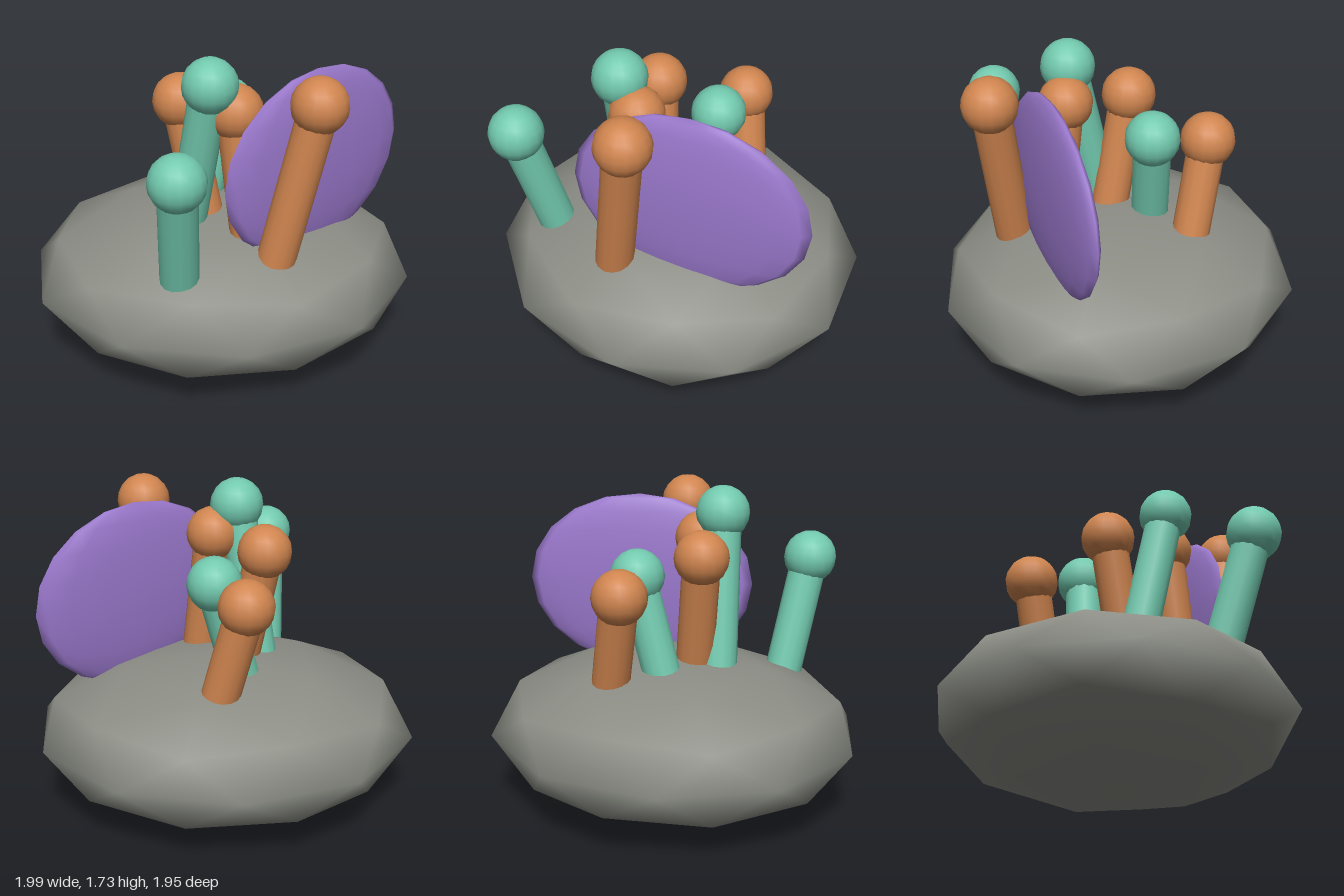
import * as THREE from 'three';

const paint = (name, color) => {
  const m = new THREE.MeshStandardMaterial({ color });
  m.name = name;
  return m;
};

export function createModel() {
  const group = new THREE.Group();
  const stone = paint('stone grey', 0x8c8e86);
  const teal = paint('teal', 0x72c9ae);
  const orange = paint('orange', 0xd0854f);
  const purple = paint('purple', 0x9a78cc);

  const add = (name, geometry, material, parent = group) => {
    const mesh = new THREE.Mesh(geometry, material);
    mesh.name = name;
    parent.add(mesh);
    return mesh;
  };

  // Flattened boulder: coarse sphere with one corner pointing straight up
  const rock = new THREE.IcosahedronGeometry(1, 1);
  rock.rotateZ(-Math.atan(2 / (1 + Math.sqrt(5))));
  rock.scale(1.045, 0.415, 0.977);
  add('rock', rock, stone).position.set(-0.003, 0.415, 0);

  // Thin upright fan
  const fan = new THREE.SphereGeometry(1, 16, 10);
  fan.scale(0.645, 0.505, 0.08);
  const fanMesh = add('fan', fan, purple);
  fanMesh.position.set(0.465, 1.12, 0.23);
  fanMesh.rotation.y = 0.6;

  // Leaning stalks, each topped with a ball: [material, foot on rock, ball centre]
  const stalks = [
    [orange, [0.05, 0.79, -0.42], [-0.067, 1.25, -0.47]],
    [teal, [-0.06, 0.81, -0.165], [0.07, 1.29, -0.2]],
    [orange, [-0.105, 0.81, 0.065], [-0.215, 1.4, -0.01]],
    [teal, [-0.2, 0.79, 0.15], [-0.097, 1.583, 0.295]],
    [orange, [0.1, 0.78, 0.33], [0.035, 1.43, 0.275]],
    [orange, [0.215, 0.73, 0.53], [0.403, 1.553, 0.565]],
    [teal, [-0.3, 0.69, 0.61], [-0.323, 1.29, 0.79]],
  ];
  const up = new THREE.Vector3(0, 1, 0);
  for (const [material, from, to] of stalks) {
    const polyp = new THREE.Group();
    polyp.name = 'polyp';
    group.add(polyp);
    const foot = new THREE.Vector3(...from);
    const tip = new THREE.Vector3(...to);
    const axis = tip.clone().sub(foot).normalize();
    foot.addScaledVector(axis, -0.04);
    const stalk = add('stalk', new THREE.CylinderGeometry(0.102, 0.102, foot.distanceTo(tip), 14), material, polyp);
    stalk.position.copy(foot).add(tip).multiplyScalar(0.5);
    stalk.quaternion.setFromUnitVectors(up, axis);
    add('ball', new THREE.SphereGeometry(0.147, 16, 10), material, polyp).position.copy(tip);
  }
  return group;
}
